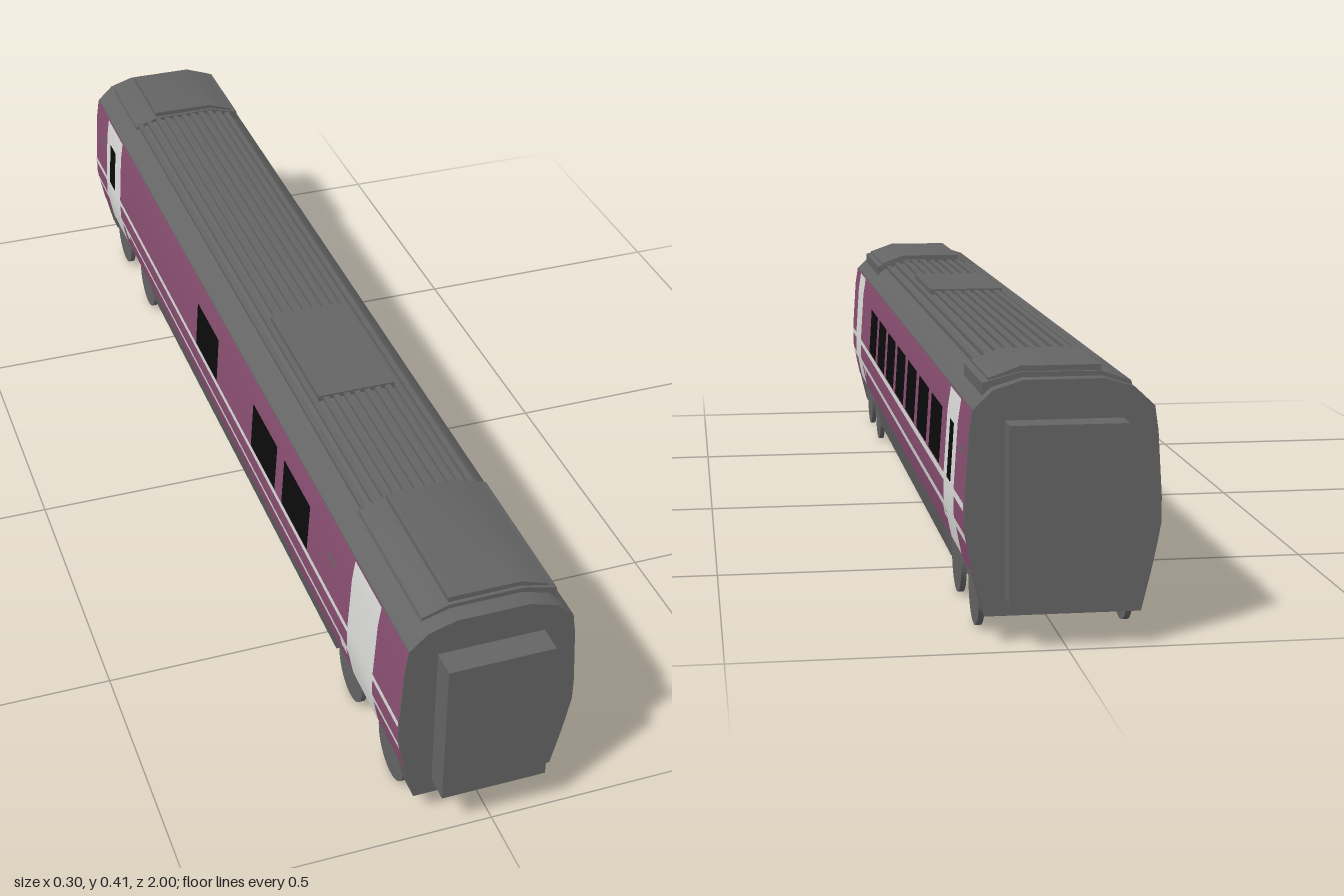
import * as THREE from 'three';
import { toCreasedNormals } from 'three/addons/utils/BufferGeometryUtils.js';

const material = (name, color) => {
  const m = new THREE.MeshStandardMaterial({ color });
  m.name = name;
  return m;
};

// Half-width of the side wall at each height
const WALL = [[0.132, 0.10], [0.1395, 0.135], [0.147, 0.175], [0.147, 0.215], [0.1405, 0.315], [0.135, 0.352]];

function wallX(y) {
  for (let i = 1; i < WALL.length; i++) {
    const [x0, y0] = WALL[i - 1], [x1, y1] = WALL[i];
    if (y <= y1) return x0 + (x1 - x0) * (y - y0) / (y1 - y0);
  }
  return WALL[WALL.length - 1][0];
}

// Thin sheet that follows the side wall; side is +1 or -1
function wallSheet(side, y0, y1, z0, z1, lift) {
  const ys = [y0, ...WALL.map(p => p[1]).filter(y => y > y0 && y < y1), y1];
  const pos = [], index = [];
  ys.forEach((y, i) => {
    const x = side * (wallX(y) + lift);
    pos.push(x, y, z1, x, y, z0);
    if (i === 0) return;
    const a = 2 * i - 2, b = a + 1, c = a + 2, d = a + 3;
    if (side > 0) index.push(a, b, d, a, d, c);
    else index.push(a, d, b, a, c, d);
  });
  const g = new THREE.BufferGeometry();
  g.setAttribute('position', new THREE.Float32BufferAttribute(pos, 3));
  g.setIndex(index);
  g.computeVertexNormals();
  return g;
}

// Cross-section swept along z
function sweep(points, z0, z1) {
  const shape = new THREE.Shape(points.map(p => new THREE.Vector2(p[0], p[1])));
  const g = new THREE.ExtrudeGeometry(shape, { depth: z1 - z0, bevelEnabled: false });
  g.translate(0, 0, z0);
  return toCreasedNormals(g, 0.45);
}

const mirrored = half => [...half, ...half.slice().reverse().map(([x, y]) => [-x, y])];

export function createModel() {
  const model = new THREE.Group();
  model.name = 'railCarriage';
  const grey = material('grey', 0x646464);
  const purple = material('plum', 0x8a4f72);
  const white = material('offWhite', 0xdcdcda);
  const black = material('windowBlack', 0x0b0b0b);
  const dull = material('markGrey', 0x6e6468);

  const add = (name, geometry, mat, parent = model) => {
    const mesh = new THREE.Mesh(geometry, mat);
    mesh.name = name;
    parent.add(mesh);
    return mesh;
  };
  const box = (name, x0, x1, y0, y1, z0, z1, parent) => {
    const m = add(name, new THREE.BoxGeometry(x1 - x0, y1 - y0, z1 - z0), grey, parent);
    m.position.set((x0 + x1) / 2, (y0 + y1) / 2, (z0 + z1) / 2);
    return m;
  };

  // Body shell with roof
  const END = 0.955;
  add('bodyShell', sweep(mirrored([...WALL, [0.105, 0.38], [0.06, 0.394]]), -END, END), grey);

  // Skirts: between the bogies and at both ends
  const skirt = mirrored([[0.118, 0.042], [0.132, 0.10]]);
  add('centreSkirt', sweep(skirt, -0.587, 0.59), grey);
  add('frontSkirt', sweep(skirt, 0.915, END), grey);
  add('rearSkirt', sweep(skirt, -END, -0.915), grey);

  // Gangways at the ends
  box('frontGangway', -0.088, 0.088, 0.071, 0.335, END, 1);
  box('rearGangway', -0.088, 0.088, 0.071, 0.335, -1, -END);

  // Roof ribs, hatch and equipment housings
  for (let i = -5; i <= 5; i++) {
    const x = i * 0.019;
    const y = Math.abs(x) < 0.06 ? 0.394 : 0.394 - (Math.abs(x) - 0.06) * 0.31;
    box('roofRib', x - 0.005, x + 0.005, y - 0.006, y + 0.006, -0.75, 0.65);
  }
  box('roofHatch', -0.07, 0.07, 0.385, 0.403, 0.08, 0.35);
  const lower = [[0.118, 0.355], [0.118, 0.387], [0.06, 0.402], [-0.06, 0.401], [-0.104, 0.386], [-0.11, 0.365]];
  const upper = [[0.108, 0.375], [0.108, 0.393], [0.06, 0.41], [-0.06, 0.41], [-0.06, 0.385]];
  [[0.645, 0.925], [-0.93, -0.738]].forEach(([z0, z1]) => {
    add('roofUnitBase', sweep(lower, z0, z1), grey);
    add('roofUnitCover', sweep(upper, z0 + 0.006, z1 - 0.006), grey);
  });

  // Side livery, doors and windows
  const windowZ = i => 0.453 - 0.177 * i;
  const sides = [
    { side: 1, name: 'leftSide', windows: [0, 1, 2, 3, 4, 5, 6] },
    { side: -1, name: 'rightSide', windows: [0, 1, 3] },
  ];
  for (const { side, name, windows } of sides) {
    const group = new THREE.Group();
    group.name = name;
    model.add(group);
    const sheet = (part, mat, y0, y1, z0, z1, lift) =>
      add(part, wallSheet(side, y0, y1, z0, z1, lift), mat, group);
    sheet('sidePanel', purple, 0.103, 0.351, -END, END, 0.001);
    sheet('upperStripe', white, 0.201, 0.213, -END, END, 0.002);
    sheet('lowerStripe', white, 0.153, 0.167, -END, END, 0.002);
    sheet('frontDoor', white, 0.112, 0.351, 0.727, 0.845, 0.003);
    sheet('rearDoor', white, 0.112, 0.351, -0.855, -0.737, 0.003);
    sheet('rearDoorWindow', black, 0.217, 0.308, -0.823, -0.78, 0.004);
    sheet('frontStep', white, 0.137, 0.154, 0.68, 0.71, 0.002);
    sheet('rearStep', white, 0.137, 0.154, -0.72, -0.69, 0.002);
    sheet('frontMark', dull, 0.277, 0.288, 0.615, 0.66, 0.002);
    sheet('rearMark', dull, 0.277, 0.288, -0.915, -0.87, 0.002);
    windows.forEach(i =>
      sheet('window', black, 0.217, 0.308, windowZ(i) - 0.069, windowZ(i) + 0.069, 0.003));
  }

  // Bogies with two wheel pairs each
  [[0.855, 0.662, 'frontBogie'], [-0.65, -0.845, 'rearBogie']].forEach(([za, zb, name]) => {
    const bogie = new THREE.Group();
    bogie.name = name;
    model.add(bogie);
    const mid = (za + zb) / 2;
    box('bogieFrame', -0.108, 0.108, 0.042, 0.078, mid - 0.11, mid + 0.11, bogie);
    box('bogieBolster', -0.06, 0.06, 0.035, 0.102, mid - 0.06, mid + 0.06, bogie);
    box('bogiePivot', -0.1, 0.1, 0.07, 0.102, mid - 0.03, mid + 0.03, bogie);
    for (const z of [za, zb]) for (const s of [-1, 1]) {
      const wheel = add('wheel', new THREE.CylinderGeometry(0.057, 0.057, 0.009, 28), grey, bogie);
      wheel.rotation.z = Math.PI / 2;
      wheel.position.set(s * 0.1135, 0.057, z);
    }
  });

  return model;
}
